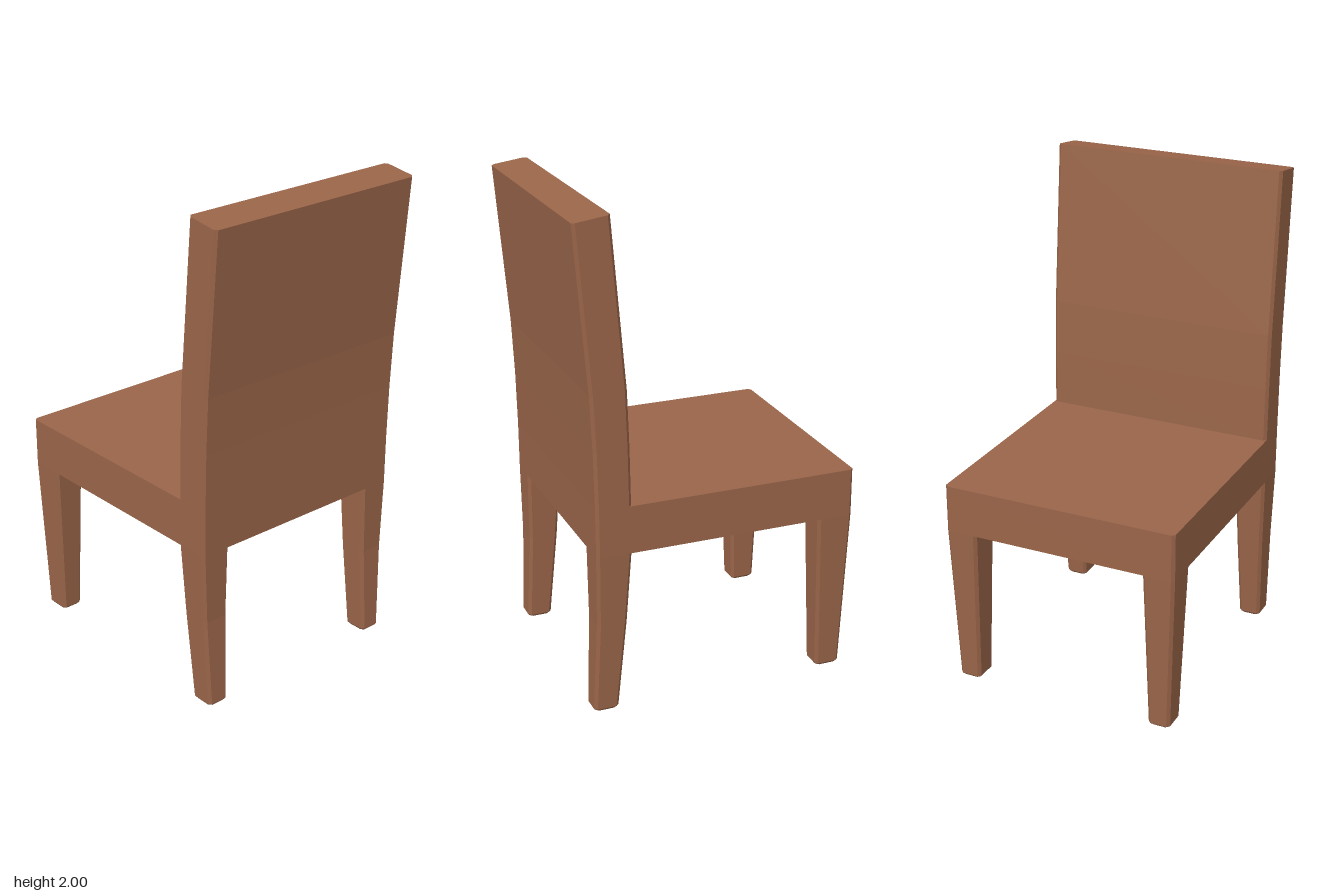
import * as THREE from 'three';

const wood = new THREE.MeshStandardMaterial({ color: 0x9a6549, flatShading: true });
wood.name = 'brownWood';

// Chamfered rectangle; yBack lets the +z edge sit at another height
function ring({ y, yBack = y, x0, x1, z0, z1, c = 0.012 }) {
  const corners = [
    [x1, z0 + c], [x1, z1 - c], [x1 - c, z1], [x0 + c, z1],
    [x0, z1 - c], [x0, z0 + c], [x0 + c, z0], [x1 - c, z0],
  ];
  return corners.map(([x, z]) => [x, y + (yBack - y) * (z - z0) / (z1 - z0), z]);
}

// Skin a stack of rings from bottom to top, with optional end caps
function loft(name, sections, topCap = true) {
  const rings = sections.map(ring);
  const pos = [];
  const tri = (...points) => points.forEach((p) => pos.push(...p));
  for (let k = 0; k < rings.length - 1; k++) {
    const lo = rings[k], hi = rings[k + 1];
    for (let i = 0; i < 8; i++) {
      const j = (i + 1) % 8;
      tri(lo[i], hi[i], hi[j]);
      tri(lo[i], hi[j], lo[j]);
    }
  }
  const bottom = rings[0], top = rings[rings.length - 1];
  for (let i = 1; i < 7; i++) {
    tri(bottom[0], bottom[i], bottom[i + 1]);
    if (topCap) tri(top[0], top[i + 1], top[i]);
  }
  const geometry = new THREE.BufferGeometry();
  geometry.setAttribute('position', new THREE.Float32BufferAttribute(pos, 3));
  geometry.computeVertexNormals();
  const mesh = new THREE.Mesh(geometry, wood);
  mesh.name = name;
  return mesh;
}

const W = 0.492; // half width
const SEAT_BOTTOM = 0.675;

// Leg levels: [y, inner x, outer x, z0, z1]; side is +1 or -1
function leg(name, side, levels) {
  return loft(name, levels.map(([y, xi, xo, z0, z1]) => ({
    y, z0, z1, x0: Math.min(side * xi, side * xo), x1: Math.max(side * xi, side * xo),
  })), false);
}

export function createModel() {
  const chair = new THREE.Group();
  chair.name = 'chair';

  // Seat block, its rear end tucked into the backrest
  const seat = { x0: -W, x1: W, z0: -0.575, z1: 0.385 };
  chair.add(loft('seat', [{ ...seat, y: SEAT_BOTTOM }, { ...seat, y: 0.87 }]));

  // Backrest, bending backwards towards its tilted top
  chair.add(loft('backrest', [
    [SEAT_BOTTOM, 0.361, 0.504], [0.87, 0.361, 0.505], [1.1, 0.365, 0.51],
    [1.33, 0.373, 0.521], [2, 0.43, 0.576, 1.98],
  ].map(([y, z0, z1, yBack]) => ({ y, yBack, z0, z1, x0: -W, x1: W }))));

  // Tapered legs with softened feet
  for (const [label, side] of [['left', 1], ['right', -1]]) {
    chair.add(leg(label + 'FrontLeg', side, [
      [0, 0.386, 0.462, -0.542, -0.456],
      [0.01, 0.378, 0.47, -0.552, -0.447],
      [SEAT_BOTTOM, 0.36, W, -0.575, -0.427],
    ]));
    chair.add(leg(label + 'BackLeg', side, [
      [0, 0.386, 0.462, 0.423, 0.508],
      [0.01, 0.378, 0.47, 0.414, 0.516],
      [0.38, 0.368, 0.482, 0.38, 0.502],
      [SEAT_BOTTOM, 0.36, W, 0.361, 0.504],
    ]));
  }
  return chair;
}
